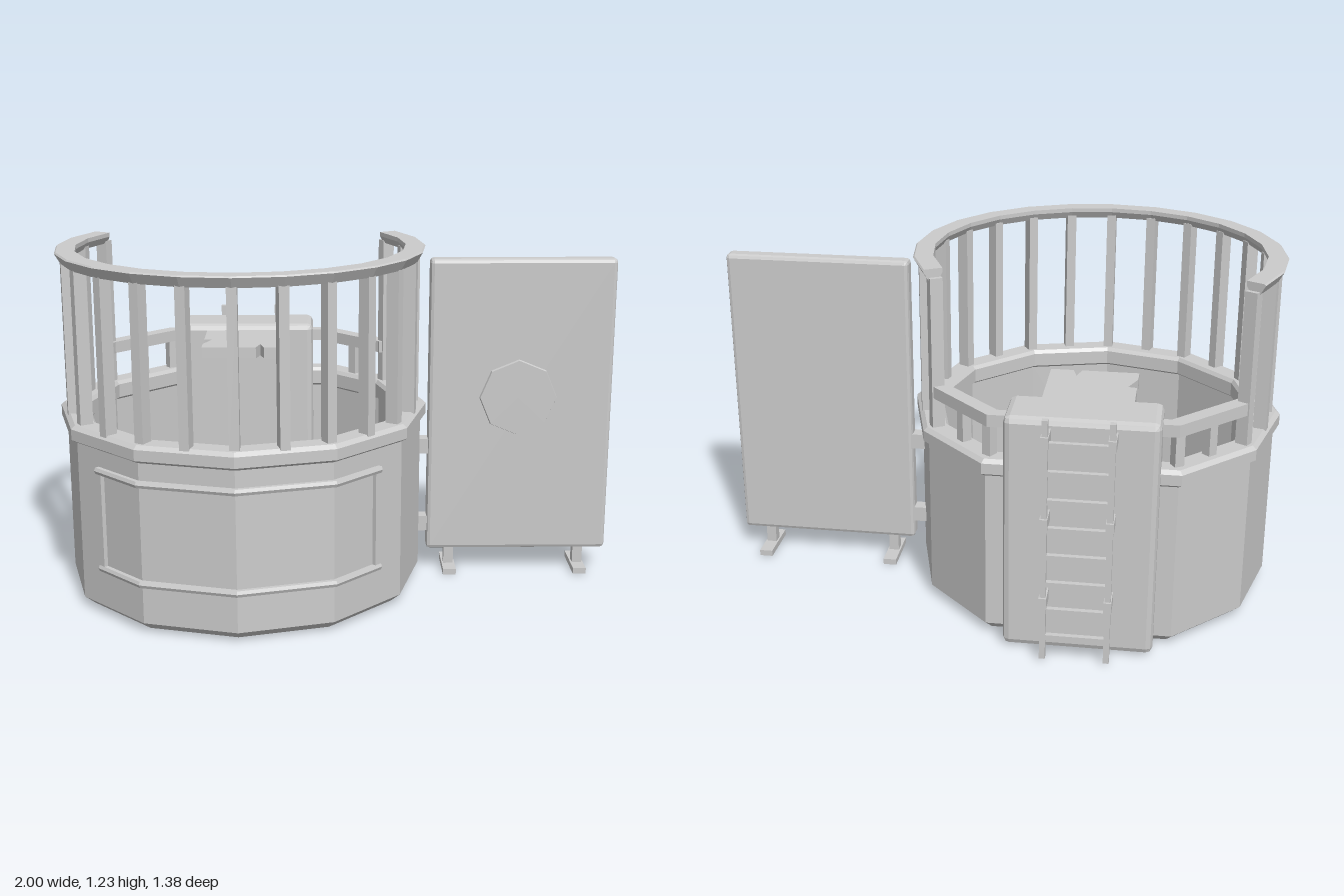
import * as THREE from 'three';
import { RoundedBoxGeometry } from 'three/addons/geometries/RoundedBoxGeometry.js';

const CX = -0.34, CZ = 0.03; // tank axis
const rad = THREE.MathUtils.degToRad;
const mat = new THREE.MeshStandardMaterial({ color: 0xcccccc, flatShading: true });

// Radius factor of the twelve-sided tank outline at an angle from the front; the back is cut flat.
function outline(deg) {
  const a = Math.abs(deg);
  if (a > 150) return Math.cos(rad(30)) / Math.cos(rad(180 - a));
  return Math.cos(rad(15)) / Math.cos(rad((a % 30) - 15));
}

// Beam swept around the tank axis; profile is a convex counter-clockwise loop of [radius, y].
function arcBeam(angles, profile, factor = outline) {
  const n = profile.length, pos = [], idx = [];
  for (const a of angles)
    for (const [r, y] of profile) {
      const k = r * factor(a);
      pos.push(CX + k * Math.sin(rad(a)), y, CZ + k * Math.cos(rad(a)));
    }
  for (let i = 0; i < angles.length - 1; i++)
    for (let j = 0; j < n; j++) {
      const j2 = (j + 1) % n, A = i * n + j, D = i * n + j2;
      idx.push(A, A + n, D + n, A, D + n, D);
    }
  const e = (angles.length - 1) * n;
  for (let j = 1; j < n - 1; j++) idx.push(0, j, j + 1, e, e + j + 1, e + j);
  const g = new THREE.BufferGeometry();
  g.setAttribute('position', new THREE.Float32BufferAttribute(pos, 3));
  g.setIndex(idx);
  const flat = g.toNonIndexed();
  flat.computeVertexNormals();
  return flat;
}

const rect = (r0, r1, y0, y1) => [[r0, y0], [r1, y0], [r1, y1], [r0, y1]];

export function createModel() {
  const root = new THREE.Group();
  root.name = 'dunkTank';

  const add = (name, geo, parent = root) => {
    const m = new THREE.Mesh(geo, mat);
    m.name = name;
    parent.add(m);
    return m;
  };
  const group = (name) => {
    const g = new THREE.Group();
    g.name = name;
    root.add(g);
    return g;
  };
  // Box given by its limits, chamfered when bevel > 0
  const box = (name, x0, x1, y0, y1, z0, z1, parent = root, bevel = 0) => {
    const s = [x1 - x0, y1 - y0, z1 - z0];
    const geo = bevel ? new RoundedBoxGeometry(...s, 1, bevel) : new THREE.BoxGeometry(...s);
    const m = add(name, geo, parent);
    m.position.set((x0 + x1) / 2, (y0 + y1) / 2, (z0 + z1) / 2);
    return m;
  };

  // Tank: outer wall, overhanging rim and hollow inside in one lathe
  const profile = [
    [0, 0.005], [0.605, 0.005], [0.64, 0.035], [0.64, 0.6], [0.66, 0.612], [0.66, 0.65],
    [0.645, 0.663], [0.575, 0.663], [0.565, 0.65], [0.565, 0.6], [0.58, 0.59], [0.58, 0.05], [0, 0.05],
  ].map(([r, y]) => new THREE.Vector2(r, y));
  const tankGeo = new THREE.LatheGeometry(profile, 12);
  const p = tankGeo.attributes.position;
  for (let i = 0; i < p.count; i++) {
    const r = Math.hypot(p.getX(i), p.getZ(i));
    p.setZ(i, Math.max(p.getZ(i), -r * Math.cos(rad(30)))); // flat back
  }
  add('tank', tankGeo).position.set(CX, 0, CZ);

  // Window frame wrapped around the front
  const frame = group('windowFrame');
  const span = [-49.5, -30, 0, 30, 49.5];
  for (const [y0, y1] of [[0.168, 0.19], [0.518, 0.54]])
    add('frameBar', arcBeam(span, [[0.62, y0], [0.655, y0], [0.66, (y0 + y1) / 2], [0.655, y1], [0.62, y1]]), frame);
  for (const [a, b] of [[-49.5, -47], [47, 49.5]])
    add('frameSide', arcBeam([a, b], rect(0.62, 0.655, 0.168, 0.54)), frame);

  // Guard railing: bars every 15 degrees under a flared top rail
  const railing = group('railing');
  const steps = Array.from({ length: 17 }, (_, i) => -120 + i * 15);
  add('topRail', arcBeam(steps, [[0.595, 1.19], [0.63, 1.19], [0.65, 1.225], [0.645, 1.23], [0.58, 1.23], [0.58, 1.215]], () => 1), railing);
  for (const a of steps) {
    const bar = add('railingBar', new THREE.BoxGeometry(0.034, 0.55, 0.045), railing);
    bar.position.set(CX + 0.608 * Math.sin(rad(a)), 0.925, CZ + 0.608 * Math.cos(rad(a)));
    bar.rotation.y = rad(a);
  }

  // Low side rails from the railing ends to the rear housing
  for (const s of [1, -1]) {
    const side = group(s > 0 ? 'leftLowRail' : 'rightLowRail');
    const angles = [119, 120, 150, 158].map((a) => s * a);
    if (s < 0) angles.reverse();
    add('lowRail', arcBeam(angles, rect(0.575, 0.63, 0.772, 0.815)), side);
    for (const a of [135, 149]) {
      const r = 0.605 * outline(a);
      const post = add('lowRailPost', new THREE.BoxGeometry(0.034, 0.13, 0.035), side);
      post.position.set(CX + s * r * Math.sin(rad(a)), 0.715, CZ + r * Math.cos(rad(a)));
      post.rotation.y = s * rad(a);
    }
  }

  // Rear housing
  box('rearHousing', -0.6, -0.09, 0.008, 0.85, -0.61, -0.4, root, 0.022);

  // Drop seat with a nick in its front edge; shape is drawn in x and -z
  const seat = new THREE.Shape([
    [-0.5, 0.42], [-0.5, 0.24], [-0.47, 0.235], [-0.5, 0.16], [-0.5, 0.1], [-0.3, 0.1],
    [-0.285, 0.155], [-0.27, 0.1], [-0.19, 0.1], [-0.19, 0.42],
  ].map(([x, y]) => new THREE.Vector2(x, y)));
  const seatGeo = new THREE.ExtrudeGeometry(seat, { depth: 0.042, bevelEnabled: false });
  seatGeo.rotateX(-Math.PI / 2);
  add('seat', seatGeo).position.y = 0.786;

  // Ladder on the back
  const ladder = group('ladder');
  for (const x of [-0.45, -0.235]) {
    box('ladderRail', x - 0.01, x + 0.01, 0.008, 0.875, -0.682, -0.66, ladder);
    for (const y of [0.222, 0.512, 0.8])
      box('ladderBracket', x - 0.013, x + 0.013, y - 0.02, y + 0.02, -0.69, -0.595, ladder);
  }
  for (let i = 0; i < 8; i++) {
    const y = 0.09 + i * 0.1;
    box('rung', -0.45, -0.235, y - 0.009, y + 0.009, -0.68, -0.662, ladder);
  }

  // Target board beside the tank
  const board = group('targetBoard');
  box('board', 0.33, 0.997, 0.085, 1.175, -0.032, 0.034, board, 0.014);
  const disc = add('target', new THREE.CylinderGeometry(0.138, 0.144, 0.02, 8), board);
  disc.rotation.x = Math.PI / 2;
  disc.position.set(0.655, 0.67, 0.034);
  for (const x of [0.415, 0.9]) {
    box('boardLeg', x - 0.018, x + 0.018, 0.01, 0.1, -0.02, 0.018, board);
    box('boardFoot', x - 0.024, x + 0.024, 0, 0.022, -0.1, 0.08, board);
  }
  for (const y of [0.183, 0.483])
    box('tankBracket', 0.26, 0.34, y - 0.028, y + 0.028, -0.025, 0.025, board);

  return root;
}
